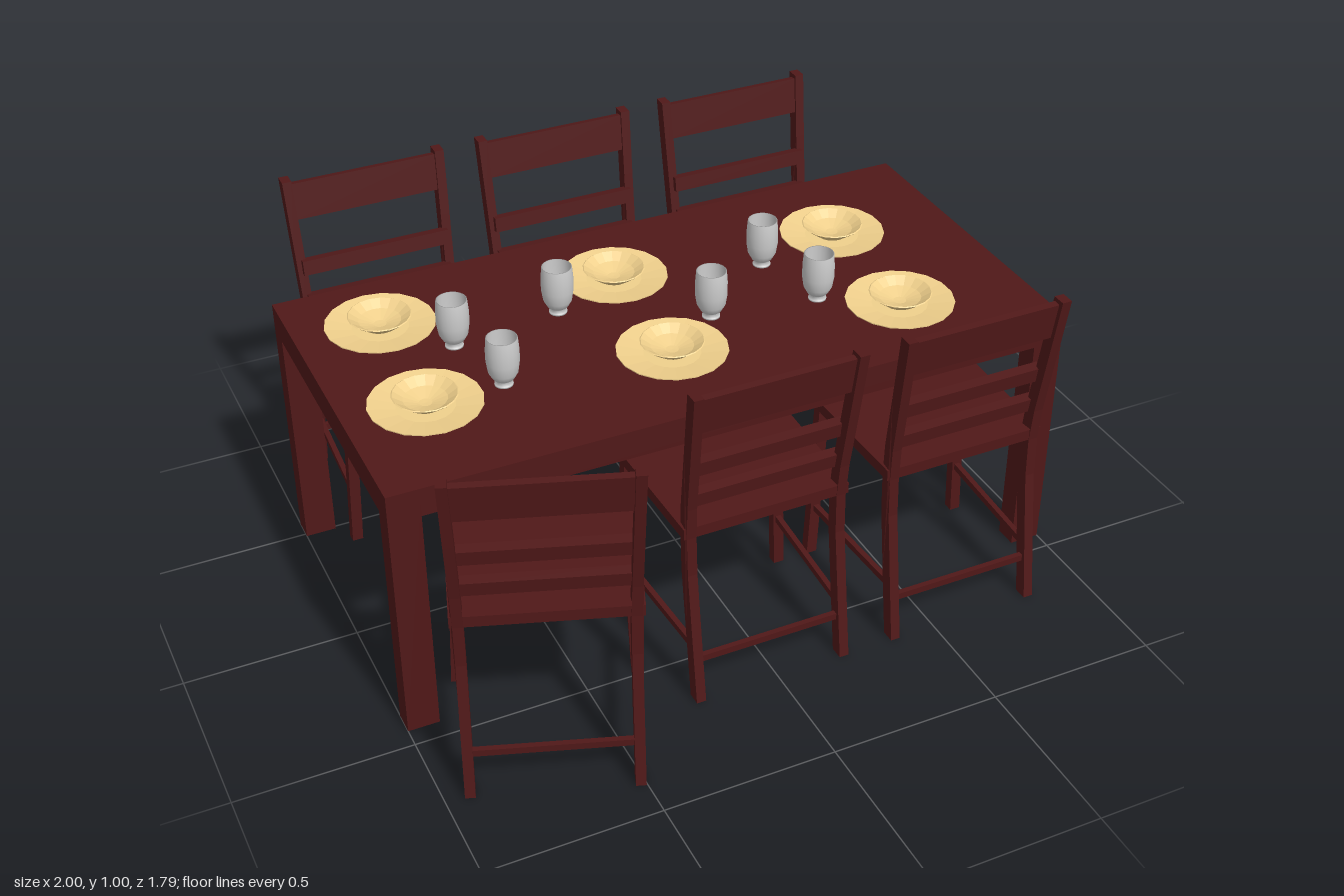
import * as THREE from 'three';

const wood = new THREE.MeshStandardMaterial({ color: 0x501818, flatShading: true });
const ceramic = new THREE.MeshStandardMaterial({ color: 0xf0d08c, flatShading: true, side: THREE.DoubleSide });
const glassGrey = new THREE.MeshStandardMaterial({ color: 0xcccccc, side: THREE.DoubleSide });

function add(parent, name, geometry, material, x = 0, y = 0, z = 0) {
  const mesh = new THREE.Mesh(geometry, material);
  mesh.name = name;
  mesh.position.set(x, y, z);
  parent.add(mesh);
  return mesh;
}

function group(parent, name, x = 0, y = 0, z = 0) {
  const g = new THREE.Group();
  g.name = name;
  g.position.set(x, y, z);
  parent.add(g);
  return g;
}

const box = (parent, name, w, h, d, x, y, z) =>
  add(parent, name, new THREE.BoxGeometry(w, h, d), wood, x, y, z);

const lathe = (points, sides) =>
  new THREE.LatheGeometry(points.map(([r, y]) => new THREE.Vector2(r, y)), sides);

// Move each vertex by a rule that edits the vector in place
function reshape(geometry, rule) {
  const p = geometry.attributes.position;
  const v = new THREE.Vector3();
  for (let i = 0; i < p.count; i++) {
    rule(v.fromBufferAttribute(p, i));
    p.setXYZ(i, v.x, v.y, v.z);
  }
  geometry.computeVertexNormals();
  return geometry;
}

// Thick top on four corner legs, joined by a flush apron
function buildTable(parent) {
  const table = group(parent, 'table', 0, 0, -0.056);
  box(table, 'tableTop', 2, 0.05, 1, 0, 0.76, 0);
  for (const s of [-1, 1]) {
    box(table, 'longApron', 1.82, 0.035, 0.03, 0, 0.7175, s * 0.485);
    box(table, 'shortApron', 0.03, 0.035, 0.866, s * 0.985, 0.7175, 0);
    for (const t of [-1, 1]) {
      box(table, 'tableLeg', 0.09, 0.735, 0.067, s * 0.955, 0.3675, t * 0.4665);
    }
  }
}

// Curved back post: side profile of [height, middle z]
const postLine = [[0, -0.461], [0.2, -0.43], [0.4, -0.4], [0.52, -0.394], [0.62, -0.401], [0.8, -0.428], [1, -0.457]];

function postGeometry(side) {
  const half = 0.02;
  const outline = [
    ...postLine.map(([y, z]) => [z + half, y]),
    ...[...postLine].reverse().map(([y, z]) => [z - half, y]),
  ].map(([z, y]) => new THREE.Vector2(-z, y));
  const shape = new THREE.Shape(outline);
  const geo = new THREE.ExtrudeGeometry(shape, { depth: 0.028, bevelEnabled: false });
  geo.translate(0, 0, -0.014);
  geo.rotateY(Math.PI / 2);
  // Posts lean slightly outward above the seat
  return reshape(geo, (v) => { v.x += side * (0.222 + 0.012 * Math.max(0, v.y - 0.5) * 2); });
}

// Chair facing +z with the front of its legs at z = 0
function buildChair(parent, x, z, turn) {
  const chair = group(parent, 'chair', x, 0, z);
  chair.rotation.y = turn;

  // Seat narrows toward the back
  const seat = new THREE.BoxGeometry(0.5, 0.033, 0.4);
  add(chair, 'seat', reshape(seat, (v) => { v.x *= 1 + 0.1 * v.z; }), wood, 0, 0.537, -0.213);

  for (const s of [-1, 1]) {
    add(chair, 'backPost', postGeometry(s), wood);
    // Front legs splay outward toward the floor
    const leg = new THREE.BoxGeometry(0.032, 0.522, 0.03);
    leg.translate(0, 0.261, 0);
    add(chair, 'frontLeg', reshape(leg, (v) => { v.x += s * (0.25 - 0.04 * v.y); }), wood, 0, 0, -0.016);
    // Side stretcher from front leg to back post
    const rail = new THREE.BoxGeometry(0.016, 0.02, 0.42);
    add(chair, 'sideStretcher', reshape(rail, (v) => { v.x += s * 0.05 * v.z; }), wood, s * 0.232, 0.165, -0.226);
  }

  box(chair, 'backStretcher', 0.43, 0.02, 0.016, 0, 0.125, -0.441);

  // Back slats tilted with the posts; the lower two sit proud in front
  const slats = [
    ['topSlat', 0.455, 0.112, 0.02, 0.932, -0.444],
    ['middleSlat', 0.455, 0.045, 0.03, 0.735, -0.395],
    ['lowerSlat', 0.45, 0.043, 0.03, 0.626, -0.38],
  ];
  for (const [name, w, h, d, y, sz] of slats) {
    box(chair, name, w, h, d, 0, y, sz).rotation.x = -0.145;
  }
}

// Wide shallow plate with a bowl on it
function buildSetting(parent, x, z) {
  const setting = group(parent, 'placeSetting', x, 0.786, z);
  add(setting, 'plate', lathe([[0, 0.001], [0.08, 0.001], [0.156, 0.014], [0.156, 0.017], [0.08, 0.005], [0, 0.005]], 18), ceramic);
  add(setting, 'bowl', lathe([[0, 0.007], [0.045, 0.007], [0.065, 0.022], [0.09, 0.042], [0.087, 0.044], [0.06, 0.026], [0.018, 0.013], [0, 0.012]], 18), ceramic);
}

// Tumbler on a small foot
function buildGlass(parent, x, z) {
  const profile = [[0, 0], [0.026, 0], [0.026, 0.005], [0.017, 0.012], [0.03, 0.022], [0.041, 0.042], [0.046, 0.075],
    [0.046, 0.11], [0.043, 0.147], [0.04, 0.147], [0.043, 0.1], [0.038, 0.046], [0.022, 0.024], [0, 0.02]];
  add(parent, 'glass', lathe(profile, 20), glassGrey, x, 0.785, z);
}

export function createModel() {
  const model = new THREE.Group();
  model.name = 'diningSet';
  buildTable(model);

  // Back row, front row, and one chair pulled out at an angle
  for (const x of [-0.615, -0.008, 0.6]) buildChair(model, x, -0.407, 0);
  for (const x of [-0.015, 0.595]) buildChair(model, x, 0.195, Math.PI);
  buildChair(model, -0.567, 0.367, Math.PI - 0.337);

  const settings = [[-0.76, -0.31], [-0.068, -0.27], [0.623, -0.227], [-0.775, 0.11], [-0.08, 0.153], [0.61, 0.197]];
  for (const [x, z] of settings) buildSetting(model, x, z);

  const glasses = [[-0.605, -0.137], [-0.28, -0.178], [0.358, -0.168], [-0.55, 0.097], [0.1, 0.025], [0.415, 0.068]];
  for (const [x, z] of glasses) buildGlass(model, x, z);

  return model;
}
